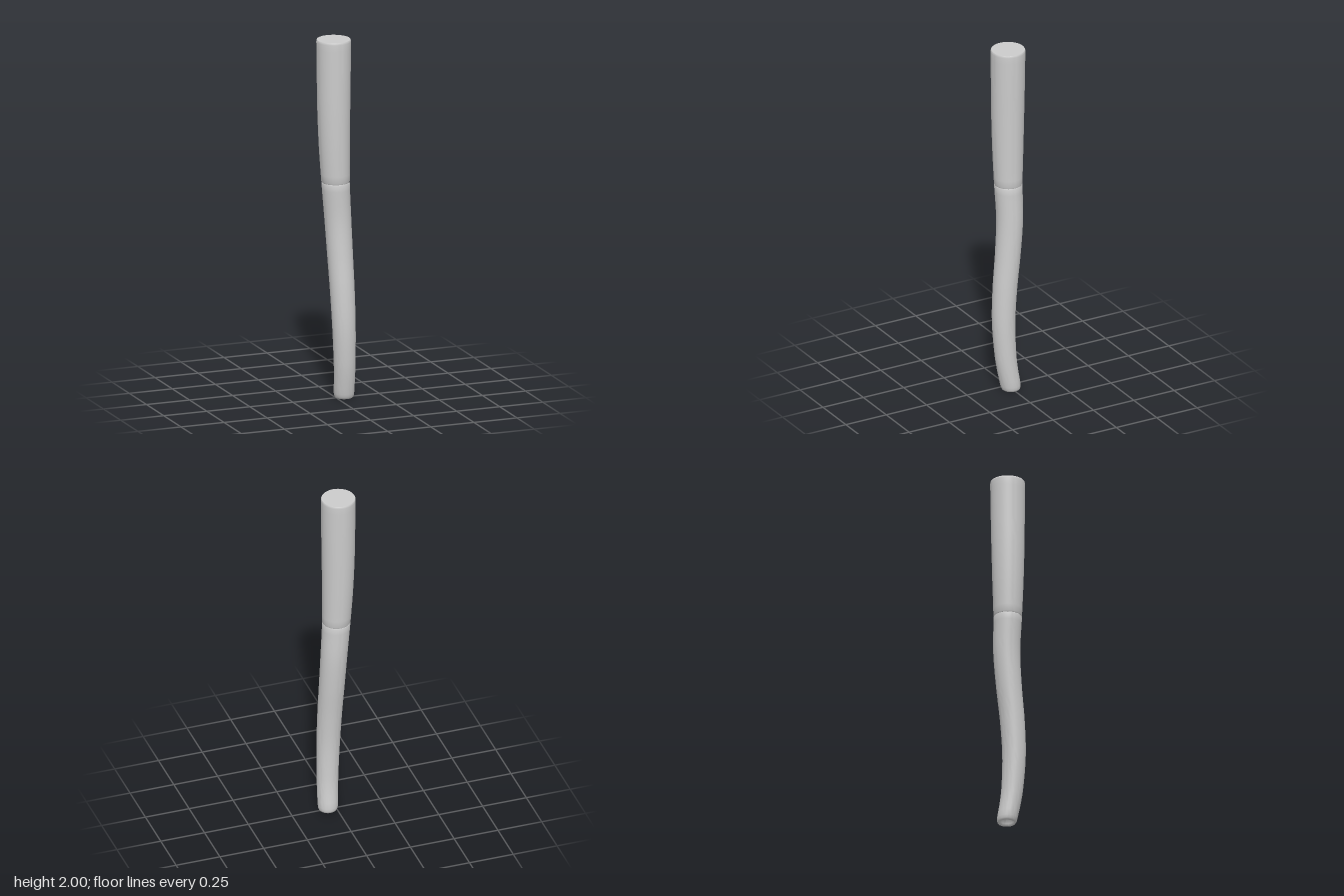
import * as THREE from 'three';
import { mergeVertices, toCreasedNormals } from 'three/addons/utils/BufferGeometryUtils.js';

// Centre line and thickness of the leg: height, centre x, centre z, radius
const sections = [
  [0.00, 0.045, 0.003, 0.054], [0.04, 0.043, 0.008, 0.056], [0.1, 0.041, 0.019, 0.057],
  [0.2, 0.037, 0.032, 0.059], [0.4, 0.03, 0.04, 0.0635], [0.6, 0.025, 0.029, 0.067],
  [0.8, 0.02, 0.008, 0.07], [1.0, 0.013, -0.007, 0.073], [1.2, 0.0, -0.006, 0.077],
  [1.4, -0.007, -0.007, 0.084], [1.6, -0.01, -0.008, 0.089], [1.8, -0.01, -0.009, 0.092],
  [2.0, -0.01, -0.01, 0.094],
];

// Smooth interpolation of centre and radius at a height
function sectionAt(y) {
  const last = sections.length - 1;
  let i = 0;
  while (i < last - 1 && y > sections[i + 1][0]) i++;
  const slope = (k, c) => {
    const a = sections[Math.max(k - 1, 0)], b = sections[Math.min(k + 1, last)];
    return (b[c] - a[c]) / (b[0] - a[0]);
  };
  const p = sections[i], q = sections[i + 1], h = q[0] - p[0];
  const t = THREE.MathUtils.clamp((y - p[0]) / h, 0, 1), t2 = t * t, t3 = t2 * t;
  return [1, 2, 3].map((c) =>
    (2 * t3 - 3 * t2 + 1) * p[c] + (t3 - 2 * t2 + t) * h * slope(i, c) +
    (3 * t2 - 2 * t3) * q[c] + (t3 - t2) * h * slope(i + 1, c));
}

// Turned profile (radius factor, height) bent along the centre line
function bentLathe(name, profile, material) {
  let geo = new THREE.LatheGeometry(profile.map(([f, y]) =>
    new THREE.Vector2(f * sectionAt(y)[2], y)), 40);
  const pos = geo.attributes.position;
  for (let i = 0; i < pos.count; i++) {
    const [cx, cz] = sectionAt(pos.getY(i));
    pos.setX(i, pos.getX(i) + cx);
    pos.setZ(i, pos.getZ(i) + cz);
  }
  geo.deleteAttribute('uv');
  geo.deleteAttribute('normal');
  geo = toCreasedNormals(mergeVertices(geo), 0.8);
  const mesh = new THREE.Mesh(geo, material);
  mesh.name = name;
  return mesh;
}

// Evenly spaced full-width rows between two heights
const wall = (from, to, n) =>
  Array.from({ length: n + 1 }, (_, i) => [1, from + (to - from) * i / n]);

export function createModel() {
  const group = new THREE.Group();
  group.name = 'leg';
  const material = new THREE.MeshStandardMaterial({ color: 0xcccccc });

  // Lower leg with a hollow, rounded foot end and a closed top
  group.add(bentLathe('lowerLeg', [
    [0, 0.05], [0.35, 0.045], [0.6, 0.032], [0.7, 0.014], [0.77, 0.003], [0.84, 0],
    [0.91, 0.003], [0.97, 0.012], ...wall(0.028, 1.197, 34), [0.97, 1.203], [0, 1.203],
  ], material));

  // Upper leg, meeting the lower one in a fine groove
  group.add(bentLathe('upperLeg', [
    [0, 1.204], [0.97, 1.204], ...wall(1.21, 1.988, 20),
    [0.99, 1.996], [0.965, 2], [0, 2],
  ], material));

  return group;
}
